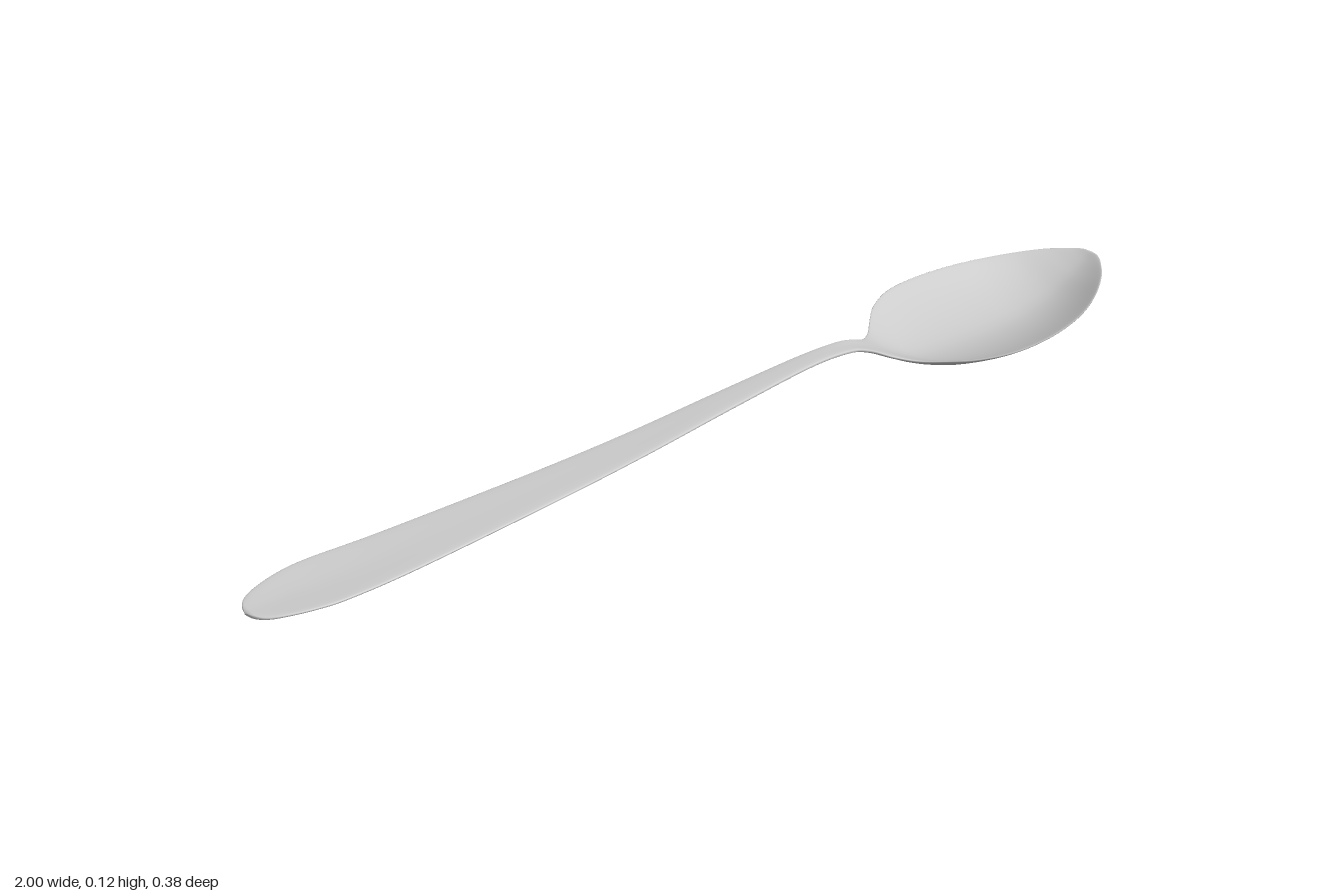
import * as THREE from 'three';

// Stations along the spoon: x, half width, height of the edges, height of the centre line
const STATIONS = [
  [-1, 0, 0.008, 0.007], [-0.995, 0.02, 0.009, 0.007], [-0.98, 0.04, 0.01, 0.007],
  [-0.95, 0.056, 0.012, 0.007], [-0.9, 0.071, 0.014, 0.008], [-0.84, 0.077, 0.015, 0.009],
  [-0.7, 0.071, 0.018, 0.014], [-0.4, 0.054, 0.036, 0.034], [-0.2, 0.043, 0.053, 0.051],
  [0, 0.033, 0.076, 0.075], [0.2, 0.024, 0.098, 0.097], [0.3, 0.024, 0.1, 0.098],
  [0.35, 0.03, 0.09, 0.086], [0.4, 0.05, 0.068, 0.064], [0.44, 0.08, 0.059, 0.043],
  [0.48, 0.12, 0.063, 0.026], [0.52, 0.155, 0.068, 0.017], [0.58, 0.183, 0.074, 0.013],
  [0.65, 0.191, 0.078, 0.013], [0.73, 0.184, 0.083, 0.016], [0.81, 0.163, 0.089, 0.025],
  [0.88, 0.13, 0.097, 0.045], [0.94, 0.088, 0.106, 0.076], [0.975, 0.052, 0.111, 0.097],
  [0.993, 0.026, 0.114, 0.11], [1, 0, 0.115, 0.115],
];
const THICKNESS = 0.011;
const STEPS = 150;
const SIDES = 48;

// Loft one closed, lens-edged cross-section along the spoon
function loftSpoon() {
  const plan = new THREE.CatmullRomCurve3(
    STATIONS.map(([x, w, edge]) => new THREE.Vector3(x, w, edge)), false, 'catmullrom', 0.5);
  const keel = new THREE.CatmullRomCurve3(
    STATIONS.map(([x, , , c]) => new THREE.Vector3(x, c, 0)), false, 'catmullrom', 0.5);
  const positions = [];
  const indices = [];

  for (let i = 0; i <= STEPS; i++) {
    const { x, y: width, z: edge } = plan.getPoint(i / STEPS);
    const centre = keel.getPoint(i / STEPS).y;
    const w = Math.max(width, 0.0005);
    const half = (THICKNESS / 2) * Math.min(1, 0.25 + w / 0.03);
    const shift = 0.007 * Math.max(0, -x); // handle leans slightly to the front
    for (let j = 0; j < SIDES; j++) {
      const a = (j / SIDES) * Math.PI * 2;
      const u = Math.cos(a);
      const s = Math.sin(a);
      const dish = centre + (edge - centre) * Math.pow(Math.abs(u), 1.75);
      const skin = half * Math.sign(s) * Math.pow(Math.abs(s), 0.6);
      positions.push(x, dish + skin, shift + w * u);
    }
  }
  for (let i = 0; i < STEPS; i++) {
    for (let j = 0; j < SIDES; j++) {
      const k = (j + 1) % SIDES;
      const a = i * SIDES + j, b = i * SIDES + k;
      const c = a + SIDES, d = b + SIDES;
      indices.push(a, c, b, b, c, d);
    }
  }
  // Close the two tips
  const last = STEPS * SIDES;
  for (let j = 1; j < SIDES - 1; j++) {
    indices.push(0, j, j + 1, last, last + j + 1, last + j);
  }

  const geometry = new THREE.BufferGeometry();
  geometry.setAttribute('position', new THREE.Float32BufferAttribute(positions, 3));
  geometry.setIndex(indices);
  geometry.computeVertexNormals();
  return geometry;
}

export function createModel() {
  const group = new THREE.Group();
  group.name = 'spoon';
  const material = new THREE.MeshStandardMaterial({ color: 0xcccccc });
  const body = new THREE.Mesh(loftSpoon(), material);
  body.name = 'bowlAndHandle';
  // Rest the lowest point on the ground
  body.geometry.computeBoundingBox();
  body.position.y = -body.geometry.boundingBox.min.y;
  group.add(body);
  return group;
}
